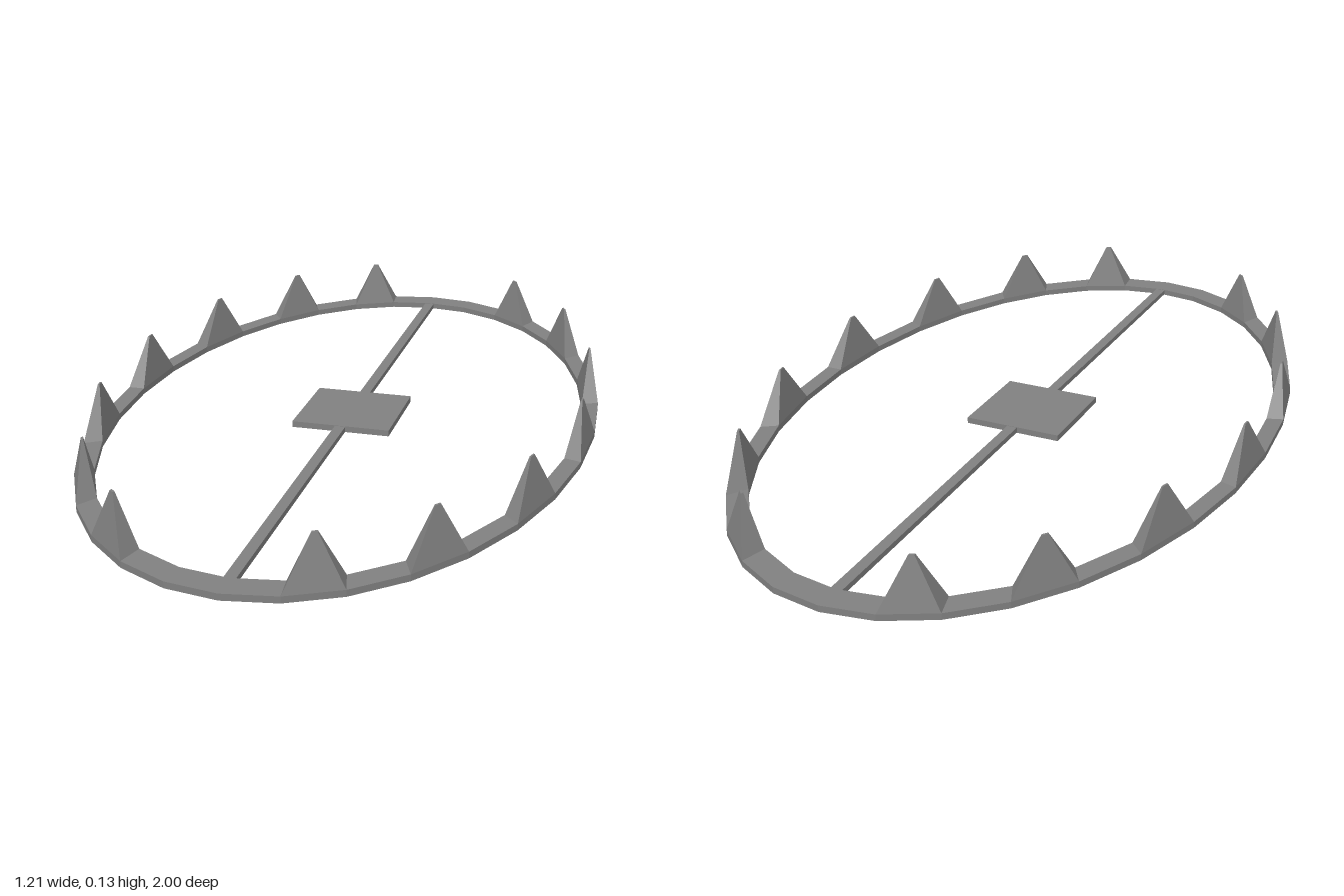
import * as THREE from 'three';
import { ConvexGeometry } from 'three/addons/geometries/ConvexGeometry.js';

const SEGMENTS = 32;
const THICK = 0.015;
const TOOTH_TOP = 0.13;
const OUTER = [0.605, 1.0];
const INNER = [0.565, 0.935];

// corner k of an ellipse, counted from the front (+z) towards +x
function corner([rx, rz], k) {
  const a = (k / SEGMENTS) * Math.PI * 2;
  return new THREE.Vector2(rx * Math.sin(a), rz * Math.cos(a));
}

function ellipsePoints(radii) {
  return Array.from({ length: SEGMENTS }, (_, k) => corner(radii, k));
}

// tapered spike standing on ring segment k
function toothGeometry(k) {
  const base = [corner(OUTER, k), corner(OUTER, k + 1), corner(INNER, k + 1), corner(INNER, k)];
  const centre = base.reduce((sum, p) => sum.add(p), new THREE.Vector2()).divideScalar(4);
  const points = [];
  for (const p of base) {
    const tip = centre.clone().lerp(p, 0.1);
    points.push(new THREE.Vector3(p.x, THICK, p.y), new THREE.Vector3(tip.x, TOOTH_TOP, tip.y));
  }
  return new ConvexGeometry(points);
}

export function createModel() {
  const model = new THREE.Group();
  model.name = 'spikedRing';
  const material = new THREE.MeshStandardMaterial({ color: 0x808080, flatShading: true });

  const add = (name, geometry, parent = model) => {
    const mesh = new THREE.Mesh(geometry, material);
    mesh.name = name;
    parent.add(mesh);
    return mesh;
  };

  // flat oval ring; the hole winds against the outline so its wall faces inward
  const outline = new THREE.Shape(ellipsePoints(OUTER));
  outline.holes.push(new THREE.Path(ellipsePoints(INNER).reverse()));
  const ring = new THREE.ExtrudeGeometry(outline, { depth: THICK, bevelEnabled: false });
  ring.rotateX(-Math.PI / 2);
  add('ring', ring);

  // seven spikes per side on every other segment, leaving both ends clear
  const teeth = new THREE.Group();
  teeth.name = 'teeth';
  model.add(teeth);
  for (const start of [1, 17]) {
    for (let i = 0; i < 7; i++) add('tooth', toothGeometry(start + i * 2), teeth);
  }

  // square centre plate
  const plateHalf = 0.122;
  add('centrePlate', new THREE.BoxGeometry(plateHalf * 2, THICK, plateHalf * 2)).position.y = THICK / 2;

  // thin bars joining the plate to the ring
  const length = INNER[1] - plateHalf;
  for (const side of [1, -1]) {
    const bar = add(side > 0 ? 'frontBar' : 'backBar', new THREE.BoxGeometry(0.026, 0.013, length));
    bar.position.set(0, THICK / 2, side * (plateHalf + length / 2));
  }

  return model;
}
